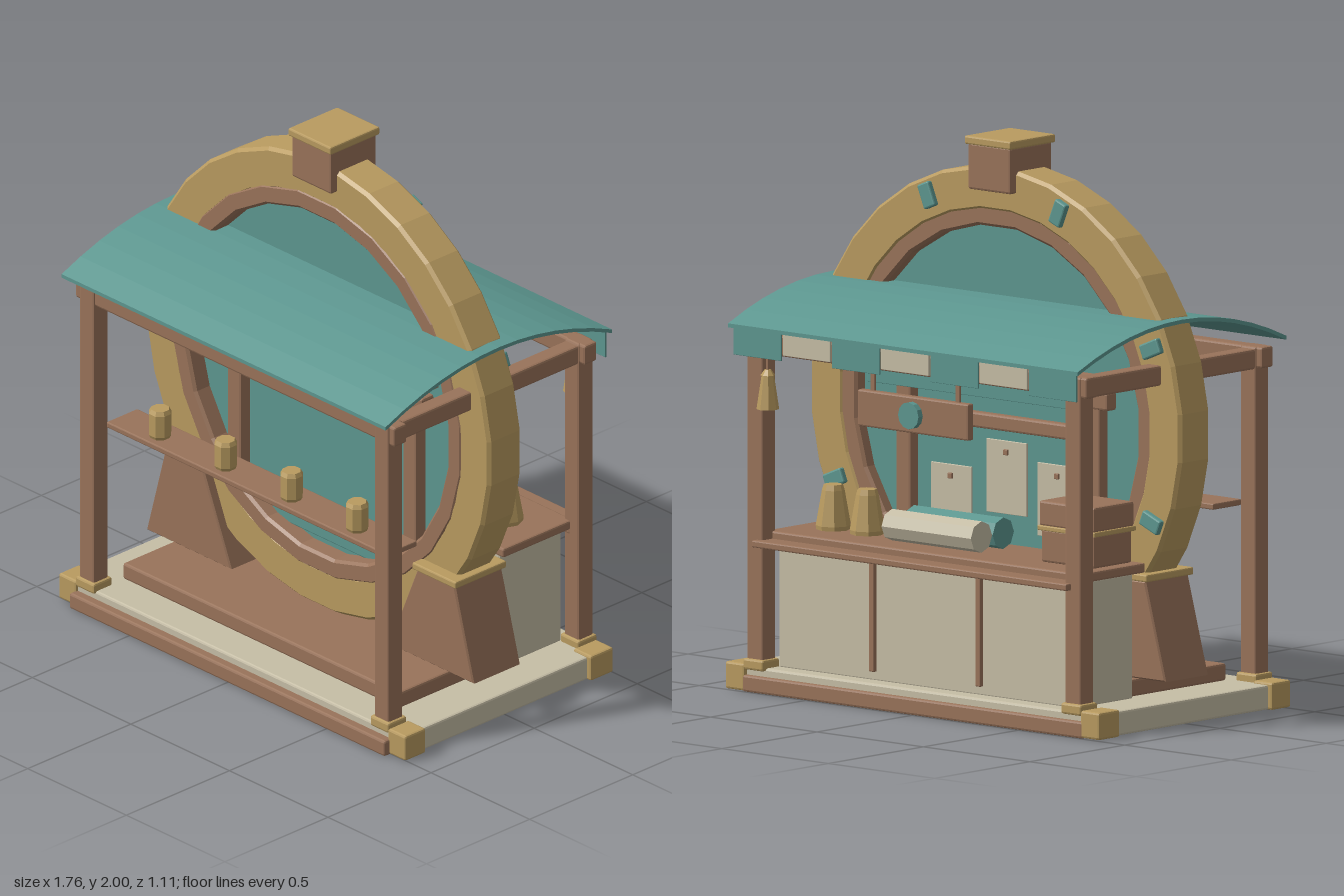
import * as THREE from 'three';
import { RoundedBoxGeometry } from 'three/addons/geometries/RoundedBoxGeometry.js';

const material = (name, color) => {
  const m = new THREE.MeshStandardMaterial({ color, flatShading: true });
  m.name = name;
  return m;
};

export function createModel() {
  const model = new THREE.Group();
  const gold = material('brass gold', 0xb99b60);
  const wood = material('brown wood', 0x99735a);
  const teal = material('teal cloth', 0x5d9790);
  const cream = material('cream paint', 0xc6bea6);

  const add = (name, geometry, mat, x = 0, y = 0, z = 0) => {
    const mesh = new THREE.Mesh(geometry, mat);
    mesh.name = name;
    mesh.position.set(x, y, z);
    model.add(mesh);
    return mesh;
  };
  // Chamfered box given by its extents
  const box = (name, mat, x0, x1, y0, y1, z0, z1) => {
    const w = x1 - x0, h = y1 - y0, d = z1 - z0;
    const g = new RoundedBoxGeometry(w, h, d, 1, Math.min(0.008, Math.min(w, h, d) * 0.2));
    return add(name, g, mat, (x0 + x1) / 2, (y0 + y1) / 2, (z0 + z1) / 2);
  };
  // The same box on both sides of x = 0
  const pair = (name, mat, x0, x1, ...rest) => {
    box(name + 'Left', mat, x0, x1, ...rest);
    box(name + 'Right', mat, -x1, -x0, ...rest);
  };
  // Extrusion along z between z0 and z1
  const slab = (shape, z0, z1, bevel = 0) => {
    const g = new THREE.ExtrudeGeometry(shape, {
      depth: z1 - z0 - 2 * bevel, bevelEnabled: bevel > 0, bevelSize: bevel,
      bevelOffset: -bevel, bevelThickness: bevel, bevelSegments: 1, curveSegments: 1,
    });
    return g.translate(0, 0, z0 + bevel);
  };
  const polygon = (r, n) => Array.from({ length: n }, (_, i) => {
    const a = (i + 0.5) / n * Math.PI * 2;
    return new THREE.Vector2(Math.cos(a) * r, Math.sin(a) * r);
  });
  const ring = (name, mat, outer, inner, n, z0, z1, bevel) => {
    const shape = new THREE.Shape(polygon(outer, n));
    shape.holes.push(new THREE.Path(polygon(inner, n).reverse()));
    add(name, slab(shape, z0, z1, bevel), mat, 0, 1.02, 0);
  };
  // Arched roof sheet running along x
  const arch = (name, mat, halfX, z0, z1, yEdge, yTop, thick) => {
    const top = [], under = [], n = 12;
    for (let i = 0; i <= n; i++) {
      const t = i / n * 2 - 1;
      const z = (z0 + z1) / 2 + t * (z1 - z0) / 2;
      const y = yEdge + (yTop - yEdge) * (1 - t * t);
      top.push(new THREE.Vector2(z, y));
      under.unshift(new THREE.Vector2(z, y - thick));
    }
    const g = slab(new THREE.Shape([...top, ...under]), -halfX, halfX);
    add(name, g.rotateY(-Math.PI / 2), mat);
  };

  // Base
  box('baseBoard', wood, -0.8, 0.8, 0, 0.06, -0.5, 0.535);
  box('baseSlab', cream, -0.86, 0.86, 0.003, 0.09, -0.485, 0.5);
  box('platform', wood, -0.7, 0.7, 0.095, 0.157, -0.13, 0.37);
  for (const [z0, z1] of [[0.41, 0.51], [-0.5, -0.39]])
    pair('baseCorner', gold, 0.79, 0.88, 0.003, 0.1, z0, z1);

  // Posts, feet and top beams
  for (const z of [0.465, -0.457]) {
    pair('post', wood, 0.71, 0.785, 0.08, 1.28, z - 0.035, z + 0.035);
    pair('postFoot', gold, 0.7, 0.795, 0.08, 0.12, z - 0.045, z + 0.045);
    box('longBeam', wood, -0.81, 0.81, 1.205, 1.28, z - 0.03, z + 0.03);
  }
  pair('sideBeam', wood, 0.715, 0.78, 1.2, 1.272, -0.46, 0.46);

  // Great ring with rim, backing disc and studs
  ring('greatRing', gold, 0.875, 0.72, 32, -0.064, 0.096, 0.012);
  ring('innerRim', wood, 0.74, 0.665, 24, -0.057, 0.1, 0.01);
  add('backingDisc', slab(new THREE.Shape(polygon(0.7, 24)), -0.01, 0.03), teal, 0, 1.02, 0);
  for (let i = 0; i < 8; i++) {
    const a = (i + 0.5) * Math.PI / 4;
    const stud = add('ringStud', new RoundedBoxGeometry(0.09, 0.055, 0.03, 1, 0.006), teal,
      Math.cos(a) * 0.805, 1.02 + Math.sin(a) * 0.805, -0.07);
    stud.rotation.z = a;
  }
  box('crownBlock', wood, -0.1, 0.1, 1.81, 1.975, -0.095, 0.125);
  box('crownCap', gold, -0.108, 0.108, 1.97, 2, -0.105, 0.135);

  // Sloped ring supports
  for (const s of [1, -1]) {
    const pts = [[0.4, 0.157], [0.83, 0.157], [0.735, 0.505], [0.545, 0.505]]
      .map(([x, y]) => new THREE.Vector2(x * s, y));
    add('ringSupport', slab(new THREE.Shape(pts), -0.097, 0.133, 0.006), wood);
  }
  pair('supportCap', gold, 0.53, 0.75, 0.503, 0.53, -0.105, 0.143);

  // Frame and small canopy inside the ring
  pair('innerPost', wood, 0.41, 0.48, 0.45, 1.09, -0.05, 0.075);
  box('innerLintel', wood, -0.52, 0.52, 1.08, 1.145, -0.055, 0.085);
  box('innerRail', wood, -0.4, 0.4, 0.955, 1.01, -0.04, 0.07);
  box('innerPanel', teal, -0.395, 0.395, 0.385, 0.96, 0.02, 0.045);
  arch('innerCanopy', wood, 0.545, -0.165, 0.195, 1.16, 1.2, 0.016);
  box('innerValance', teal, -0.52, 0.52, 1.09, 1.155, -0.155, -0.145);

  // Sheets pinned on the back of the disc
  for (const [x, y] of [[0.24, 0.68], [-0.02, 0.79], [-0.26, 0.73]]) {
    box('sheet', cream, x - 0.095, x + 0.095, y - 0.13, y + 0.13, -0.026, -0.018);
    box('sheetPin', wood, x - 0.01, x + 0.01, y + 0.08, y + 0.1, -0.034, -0.024);
  }

  // Main roof and rear valance
  arch('roof', teal, 0.822, -0.548, 0.55, 1.31, 1.432, 0.014);
  for (let i = 0; i < 7; i++) {
    const w = 1.62 / 7, x = -0.81 + i * w, even = i % 2 === 0;
    box('valanceFlag', even ? teal : cream, x + 0.004, x + w - 0.004,
      even ? 1.2 : 1.22, 1.307, -0.538, -0.53);
  }

  // Front shelf with cups
  box('frontShelf', wood, -0.71, 0.71, 0.71, 0.732, 0.29, 0.44);
  const cupProfile = [[0, 0], [0.036, 0], [0.042, 0.012], [0.042, 0.095], [0.034, 0.11], [0, 0.11]]
    .map(p => new THREE.Vector2(...p));
  for (const x of [-0.5, -0.167, 0.167, 0.5])
    add('cup', new THREE.LatheGeometry(cupProfile, 8), gold, x, 0.732, 0.38).rotation.y = Math.PI / 8;

  // Rear counter
  box('counterBody', cream, -0.7, 0.7, 0.085, 0.535, -0.42, -0.12);
  box('counterTop', wood, -0.74, 0.74, 0.537, 0.572, -0.44, -0.1);
  box('counterRail', wood, -0.74, 0.74, 0.52, 0.545, -0.517, -0.42);
  for (const x of [-0.25, 0.25])
    box('counterStrip', wood, x - 0.012, x + 0.012, 0.12, 0.51, -0.435, -0.415);
  box('counterKnob', wood, -0.02, 0.02, 0.32, 0.345, -0.125, -0.095);

  // Goods on the counter
  const jarProfile = [[0, 0], [0.06, 0], [0.062, 0.015], [0.04, 0.14], [0.034, 0.16], [0, 0.16]]
    .map(p => new THREE.Vector2(...p));
  for (const x of [0.42, 0.58])
    add('jar', new THREE.LatheGeometry(jarProfile, 8), gold, x, 0.572, -0.265);
  for (const [z, mat] of [[-0.21, teal], [-0.325, cream]])
    add('clothRoll', new THREE.CylinderGeometry(0.056, 0.056, 0.42, 8), mat, 0.04, 0.63, z)
      .rotation.z = Math.PI / 2;
  box('crate', wood, -0.7, -0.45, 0.572, 0.69, -0.325, -0.125);
  box('crateBand', gold, -0.71, -0.44, 0.685, 0.703, -0.335, -0.115);
  box('crateLid', wood, -0.705, -0.445, 0.7, 0.79, -0.33, -0.12);

  // Hanging sign with disc, and corner lantern
  box('signBoard', wood, -0.26, 0.26, 1.0, 1.13, -0.497, -0.465);
  for (const x of [-0.2, 0.2])
    box('signHanger', wood, x - 0.01, x + 0.01, 1.12, 1.21, -0.485, -0.475);
  add('signDisc', new THREE.CylinderGeometry(0.048, 0.048, 0.03, 12), teal, 0, 1.065, -0.505)
    .rotation.x = Math.PI / 2;
  box('lanternHook', wood, 0.645, 0.675, 1.225, 1.25, -0.53, -0.45);
  box('lanternCord', wood, 0.655, 0.665, 1.15, 1.23, -0.525, -0.515);
  add('lantern', new THREE.CylinderGeometry(0.022, 0.04, 0.12, 8), gold, 0.66, 1.08, -0.52);
  add('lanternCap', new THREE.CylinderGeometry(0.012, 0.026, 0.02, 8), gold, 0.66, 1.15, -0.52);

  return model;
}
